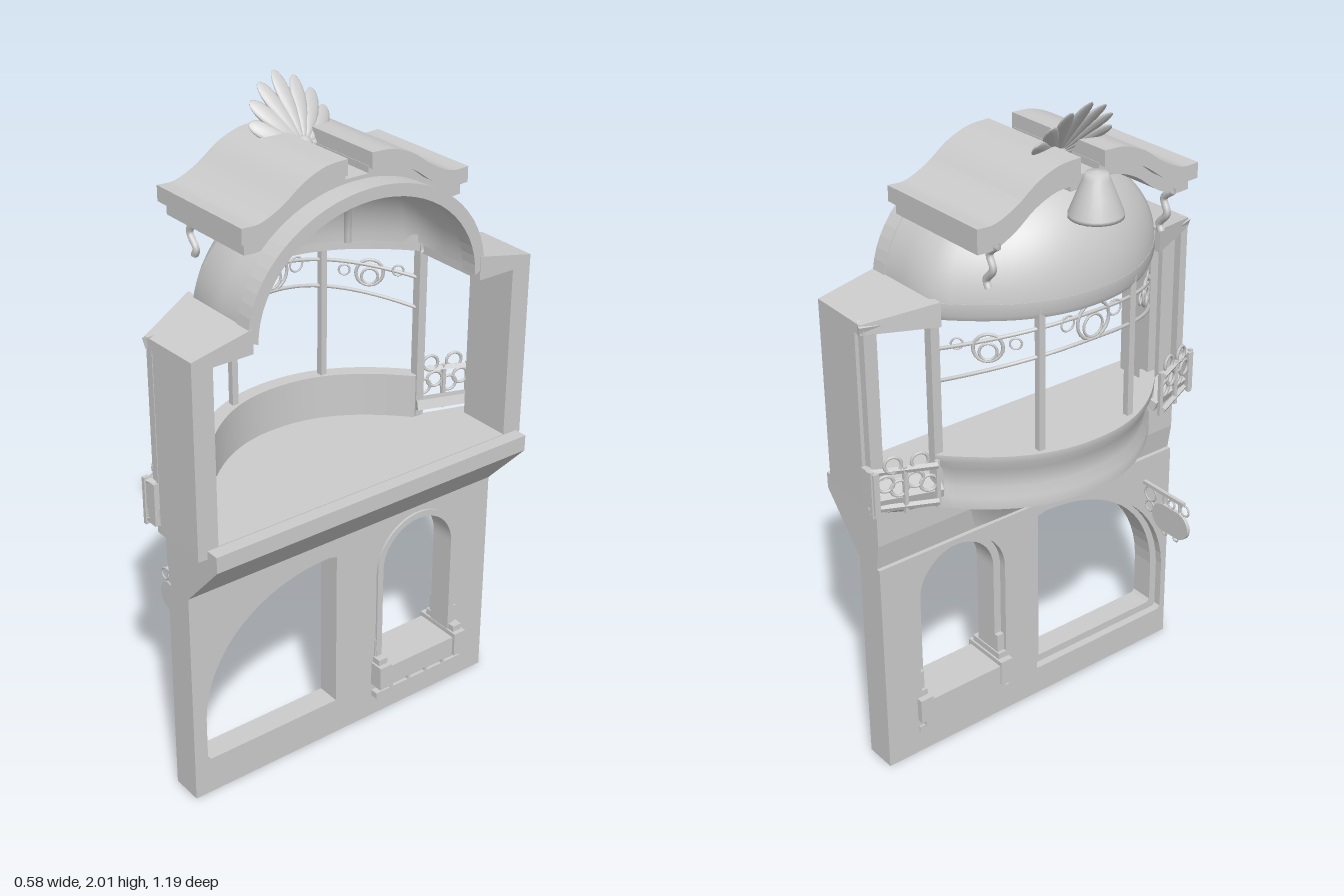
import * as THREE from 'three';
import { toCreasedNormals } from 'three/addons/utils/BufferGeometryUtils.js';

const V = (x, y, z) => new THREE.Vector3(x, y, z);
const grey = new THREE.MeshStandardMaterial({ color: 0xcccccc, side: THREE.DoubleSide });

export function createModel() {
  const model = new THREE.Group();
  const add = (name, geo) => {
    const mesh = new THREE.Mesh(geo, grey);
    mesh.name = name;
    model.add(mesh);
    return mesh;
  };

  // ---------- helpers ----------
  const box = (name, x0, x1, y0, y1, z0, z1) =>
    add(name, new THREE.BoxGeometry(x1 - x0, y1 - y0, Math.abs(z1 - z0)))
      .position.set((x0 + x1) / 2, (y0 + y1) / 2, (z0 + z1) / 2);
  const beam = (name, a, b, w, d = w) => {
    const dir = b.clone().sub(a);
    const m = add(name, new THREE.BoxGeometry(w, dir.length(), d));
    m.position.copy(a).add(b).multiplyScalar(0.5);
    m.quaternion.setFromUnitVectors(V(0, 1, 0), dir.normalize());
  };
  const tube = (name, pts, r, seg = 20) =>
    add(name, new THREE.TubeGeometry(new THREE.CatmullRomCurve3(pts), seg, r, 6));
  const ring = (name, p, r, t, angle) => {
    const m = add(name, new THREE.TorusGeometry(r, t, 6, 20));
    m.position.copy(p);
    m.rotation.y = angle;
  };
  const toShape = pts => new THREE.Shape(pts.map(p => new THREE.Vector2(p[0], p[1])));
  // Upright slab: shape drawn in (z, y), spanning x0..x1
  const plate = (name, shape, x0, x1) =>
    add(name, new THREE.ExtrudeGeometry(shape, { depth: x1 - x0, bevelEnabled: false, curveSegments: 16 })
      .rotateY(-Math.PI / 2).translate(x1, 0, 0));
  // Flat slab: plan drawn in (x, z), spanning y0..y1
  const slab = (name, plan, y0, y1) =>
    add(name, new THREE.ExtrudeGeometry(toShape(plan.map(p => [p[0], -p[1]])), { depth: y1 - y0, bevelEnabled: false })
      .rotateX(-Math.PI / 2).translate(0, y0, 0));
  // Surface through rows of points
  const loft = (name, rows, crease = 0.6) => {
    const n = rows[0].length, index = [];
    for (let i = 0; i < rows.length - 1; i++)
      for (let j = 0; j < n - 1; j++) {
        const a = i * n + j, b = a + n;
        index.push(a, b, a + 1, b, b + 1, a + 1);
      }
    const g = new THREE.BufferGeometry().setFromPoints(rows.flat());
    g.setIndex(index);
    return add(name, toCreasedNormals(g, crease));
  };
  // Move a plan path outward
  const offset = (path, d) => path.map((p, i) => {
    const a = path[Math.max(i - 1, 0)], b = path[Math.min(i + 1, path.length - 1)];
    const tx = b[0] - a[0], tz = b[1] - a[1], l = Math.hypot(tx, tz);
    return [p[0] + d * tz / l, p[1] - d * tx / l];
  });
  // Sweep a closed (outward, y) profile along a plan path
  const sweep = (name, path, profile) =>
    loft(name, [...profile, profile[0]].map(([o, y]) => offset(path, o).map(p => V(p[0], y, p[1]))));

  // ---------- plan of the bay ----------
  const bayX = z => -0.21 + 0.2 * Math.pow(Math.abs(z) / 0.385, 2.2);
  const bay = [];
  for (let i = 0; i <= 24; i++) {
    const z = 0.385 - 0.77 * i / 24;
    bay.push([bayX(z), z]);
  }
  const fullPlan = [[0.05, 0.575], ...bay, [0.05, -0.575]];

  // ---------- ground floor wall with two openings ----------
  const bigWindow = g => {
    const p = new THREE.Path();
    p.moveTo(0.03 - g, 0.12 - g);
    p.lineTo(0.49 + g, 0.12 - g);
    p.lineTo(0.5 + g, 0.13 - g);
    p.lineTo(0.5 + g, 0.27);
    p.bezierCurveTo(0.49 + g, 0.5, 0.3, 0.645 + g, 0.06, 0.645 + g);
    p.lineTo(0.03 - g, 0.638 + g);
    return p;
  };
  const archWindow = (g, P = THREE.Path) => {
    const p = new P();
    p.moveTo(-0.41 - g, 0.17 - g);
    p.lineTo(-0.142 + g, 0.17 - g);
    p.lineTo(-0.142 + g, 0.53);
    p.absarc(-0.276, 0.527, 0.134 + g, 0, Math.PI, false);
    return p;
  };
  [[0.04, 0.065, 0.025], [0.065, 0.14, 0]].forEach(([x0, x1, g]) => {
    const s = toShape([[-0.56, 0], [0.545, 0], [0.545, 0.7], [-0.56, 0.7]]);
    s.holes.push(bigWindow(g), archWindow(g));
    plate('groundWall', s, x0, x1);
  });
  const trim = archWindow(0.02, THREE.Shape);
  trim.holes.push(archWindow(0));
  plate('archTrim', trim, 0.14, 0.147);

  // Sill planter under the arched window
  box('planterLedge', 0.025, 0.175, 0.12, 0.185, -0.43, -0.13);
  box('planterFoot', 0.035, 0.165, 0.075, 0.095, -0.45, -0.11);
  box('planterPanel', 0.03, 0.155, 0.09, 0.13, -0.43, -0.13);
  for (const z of [-0.43, -0.13]) {
    box('planterEnd', 0.02, 0.185, 0.12, 0.2, z - 0.022, z + 0.022);
    box('planterCap', 0.04, 0.17, 0.2, 0.22, z - 0.016, z + 0.016);
    box('windowJamb', 0.05, 0.145, 0.22, 0.28, z - 0.012, z + 0.012);
  }
  for (let i = 0; i < 4; i++) box('planterPeg', 0.15, 0.165, 0.095, 0.12, -0.385 + i * 0.07, -0.375 + i * 0.07);

  // ---------- floor, cornice and bay underside ----------
  add('cornice', new THREE.ExtrudeGeometry(toShape([[0.055, 0.69], [0.14, 0.7], [0.287, 0.86], [0.287, 0.91],
    [0.04, 0.91], [0.04, 0.78]]), { depth: 1.105, bevelEnabled: false }).translate(0, 0, -0.56));
  slab('bayFloor', [...fullPlan, [0.245, -0.575], [0.245, 0.575]], 0.885, 0.912);
  loft('bayUnderside', [[1, 0.885], [0.75, 0.865], [0.45, 0.845], [0.2, 0.8], [0, 0.69]].map(([s, y]) =>
    fullPlan.map(([x, z]) => V(0.055 + (x - 0.055) * s, y, z * (0.6 + 0.4 * s)))), 1);

  // Curved parapet with a hollowed outer face
  sweep('parapet', bay, [[-0.02, 0.9], [-0.02, 1.05], [0.025, 1.05], [0.025, 1.03], [0.008, 1.0],
    [0, 0.94], [0.012, 0.91], [0.012, 0.875], [-0.02, 0.875]]);

  // ---------- side walls, mirrored ----------
  for (const s of [1, -1]) {
    const A = [0.05, 0.57 * s], B = [-0.012, 0.39 * s];
    const n = [-0.945, 0.326 * s], ang = Math.atan2(n[0], n[1]);
    const at = (t, y, o = 0) => V(A[0] + (B[0] - A[0]) * t + n[0] * o, y, A[1] + (B[1] - A[1]) * t + n[1] * o);
    slab('sidePillar', [[0.07, 0.578 * s], [0.245, 0.575 * s], [0.245, 0.51 * s], [0.07, 0.51 * s]], 0.905, 1.47);
    beam('outerPost', at(0.05, 0.9), at(0.05, 1.46), 0.025);
    beam('cornerPost', at(1, 0.9), at(1, 1.47), 0.028);
    beam('sideSill', at(-0.05, 0.945), at(1.05, 0.945), 0.07, 0.03);
    beam('sideLintel', at(-0.05, 1.455), at(1.05, 1.455), 0.03);
    // Small iron balcony on the side window
    for (const y of [0.92, 1.035]) {
      beam('balconyRail', at(-0.02, y, 0.03), at(0.95, y, 0.05), 0.014);
      beam('balconyReturn', at(-0.02, y, 0), at(-0.02, y, 0.03), 0.014);
    }
    for (const t of [-0.02, 0.47, 0.95]) beam('balconyBar', at(t, 0.9, 0.04), at(t, 1.045, 0.04), 0.012);
    box('balconyEnd', 0.0, 0.06, 0.91, 1.04, 0.57 * s, 0.588 * s);
    [[0.18, 1.0], [0.38, 0.98], [0.62, 1.0], [0.82, 0.98], [0.3, 1.055], [0.7, 1.055]].forEach(([t, y]) =>
      ring('balconyScroll', at(t, y, 0.04), 0.024, 0.005, ang));

    // Sloping side roof
    const roof = slab('sideRoof', [[0.04, 0.58 * s], [-0.05, 0.385 * s], [0.245, 0.385 * s], [0.245, 0.575 * s]], 1.44, 1.5);
    const p = roof.geometry.attributes.position;
    for (let i = 0; i < p.count; i++)
      if (p.getY(i) > 1.47) p.setY(i, 1.47 + (0.58 - Math.abs(p.getZ(i))) * 0.21);
    roof.geometry.computeVertexNormals();
  }

  // ---------- bay window bars and ironwork ----------
  for (const z of [-0.16, 0.16]) beam('mullion', V(bayX(z), 1.03, z), V(bayX(z), 1.48, z), 0.02);
  for (const [y, drop] of [[1.43, 0.065], [1.35, 0.08]])
    tube('ironArch', bay.map(([x, z]) => V(x, y - drop * (z / 0.37) ** 2, z)), 0.006, 40);
  for (const [z, y, r] of [[-0.28, 1.37, 0.04], [0, 1.405, 0.055], [0.28, 1.37, 0.04]]) {
    const ang = Math.atan2(-1, z * 2.7);
    ring('ironRing', V(bayX(z), y, z), r, 0.005, ang);
    ring('ironInnerRing', V(bayX(z), y - r * 0.3, z), r * 0.6, 0.004, ang);
    for (const k of [-1, 1]) ring('ironCurl', V(bayX(z + k * r * 1.6), y + 0.01, z + k * r * 1.5), r * 0.4, 0.003, ang);
  }
  sweep('windowLintel', bay, [[-0.015, 1.45], [-0.015, 1.5], [0.012, 1.5], [0.012, 1.465], [0.005, 1.45]]);

  // ---------- half dome ----------
  const domeBase = [[0.24, 0.385], [0.11, 0.385], ...bay, [0.11, -0.385], [0.24, -0.385]];
  const domePoint = ([x, z], v, h, k) => {
    const c = Math.max(Math.cos(v * Math.PI / 2), 0);
    return V(0.24 + (x - 0.24) * Math.pow(c, k), 1.475 + h * Math.sin(v * Math.PI / 2), z * c);
  };
  const dome = (name, off, h, k) => {
    const path = offset(domeBase, off), rows = [];
    for (let i = 0; i <= 20; i++) rows.push(path.map(p => domePoint(p, i / 20, h, k)));
    loft(name, rows, 0.9);
  };
  dome('domeOuter', 0.012, 0.325, 0.6);
  dome('domeInner', -0.015, 0.295, 0.75);
  const inside = offset(domeBase, -0.02);
  for (const i of [7, 21]) {
    const pts = [];
    for (let k = 0; k <= 12; k++) pts.push(domePoint(inside[i], k / 13, 0.29, 0.75));
    tube('domeRib', pts, 0.012);
  }
  // Arched rim of the open back
  const rim = new THREE.Shape();
  rim.absellipse(0, 1.475, 0.4, 0.325, 0, Math.PI, false);
  rim.absellipse(0, 1.46, 0.368, 0.305, Math.PI, 0, true);
  plate('domeRim', rim, 0.19, 0.243);

  // ---------- curved gable roof in two halves ----------
  const topLine = new THREE.CatmullRomCurve3([V(0.375, 1.76, 0), V(0.32, 1.76, 0), V(0.25, 1.79, 0),
    V(0.18, 1.838, 0), V(0.11, 1.865, 0), V(0.04, 1.87, 0)]).getPoints(20).map(p => [p.x, p.y]);
  for (const s of [1, -1]) {
    const layer = (name, up, down, k, x0, x1) => plate(name, toShape([...topLine.map(([z, y]) => [z * k * s, y - up]),
      ...topLine.map(([z, y]) => [z * k * s, y - down]).reverse()]), x0, x1);
    layer('gableRoof', 0, 0.045, 1, -0.2, 0.188);
    layer('gableSoffit', 0.04, 0.08, 0.96, -0.18, 0.175);
    // Scroll bracket under the eave
    tube('eaveBracket', [V(-0.185, 1.69, 0.3 * s), V(-0.15, 1.66, 0.3 * s), V(-0.165, 1.62, 0.3 * s),
      V(-0.135, 1.58, 0.3 * s), V(-0.145, 1.56, 0.3 * s)], 0.011);
  }
  box('gableInfill', -0.17, 0.175, 1.77, 1.81, -0.05, 0.05);

  // ---------- crest: bell-shaped base and shell ----------
  add('crestBell', new THREE.LatheGeometry([[0, 1.83], [0.03, 1.825], [0.037, 1.81], [0.055, 1.765],
    [0.075, 1.715], [0.075, 1.705], [0, 1.705]].map(p => new THREE.Vector2(...p)), 24)).position.set(-0.215, 0, 0);
  for (let i = -4; i <= 4; i++) {
    const a = i * 0.37, len = 0.175 - 0.01 * Math.abs(i);
    // Petal: narrow at the root, rounded at the tip, curling outward
    const g = new THREE.SphereGeometry(1, 12, 12);
    const p = g.attributes.position;
    for (let k = 0; k < p.count; k++) {
      const t = (p.getY(k) + 1) / 2;
      p.setXYZ(k, p.getX(k) * 0.013 - 0.03 * t * t, t * len, p.getZ(k) * (0.01 + 0.022 * t));
    }
    g.computeVertexNormals();
    g.rotateX(a);
    // Lean the whole fan forward
    for (let k = 0; k < p.count; k++) p.setX(k, p.getX(k) - 0.6 * Math.max(p.getY(k), 0));
    g.computeVertexNormals();
    add('shellPetal', g).position.set(-0.055, 1.83, 0);
  }
  add('shellKnob', new THREE.SphereGeometry(0.026, 14, 10)).position.set(-0.055, 1.832, 0);

  // ---------- hanging sign ----------
  const zs = 0.44;
  beam('signArm', V(0.045, 0.615, zs), V(-0.14, 0.615, zs), 0.012);
  const sign = new THREE.Shape();
  sign.absellipse(-0.03, 0.53, 0.05, 0.047, Math.PI / 2, Math.PI * 1.5, false);
  sign.absellipse(0.03, 0.53, 0.05, 0.047, -Math.PI / 2, Math.PI / 2, false);
  add('signBoard', new THREE.ExtrudeGeometry(sign, { depth: 0.012, bevelEnabled: false }))
    .position.set(-0.085, 0, zs - 0.006);
  for (const x of [-0.12, -0.05]) beam('signHanger', V(x, 0.57, zs), V(x, 0.615, zs), 0.005);
  for (const [x, y, r] of [[0.01, 0.585, 0.025], [-0.145, 0.595, 0.018], [-0.085, 0.59, 0.014],
    [-0.11, 0.478, 0.01], [-0.06, 0.478, 0.01], [0.012, 0.54, 0.018]])
    ring('signScroll', V(x, y, zs), r, 0.003, 0);

  return model;
}
